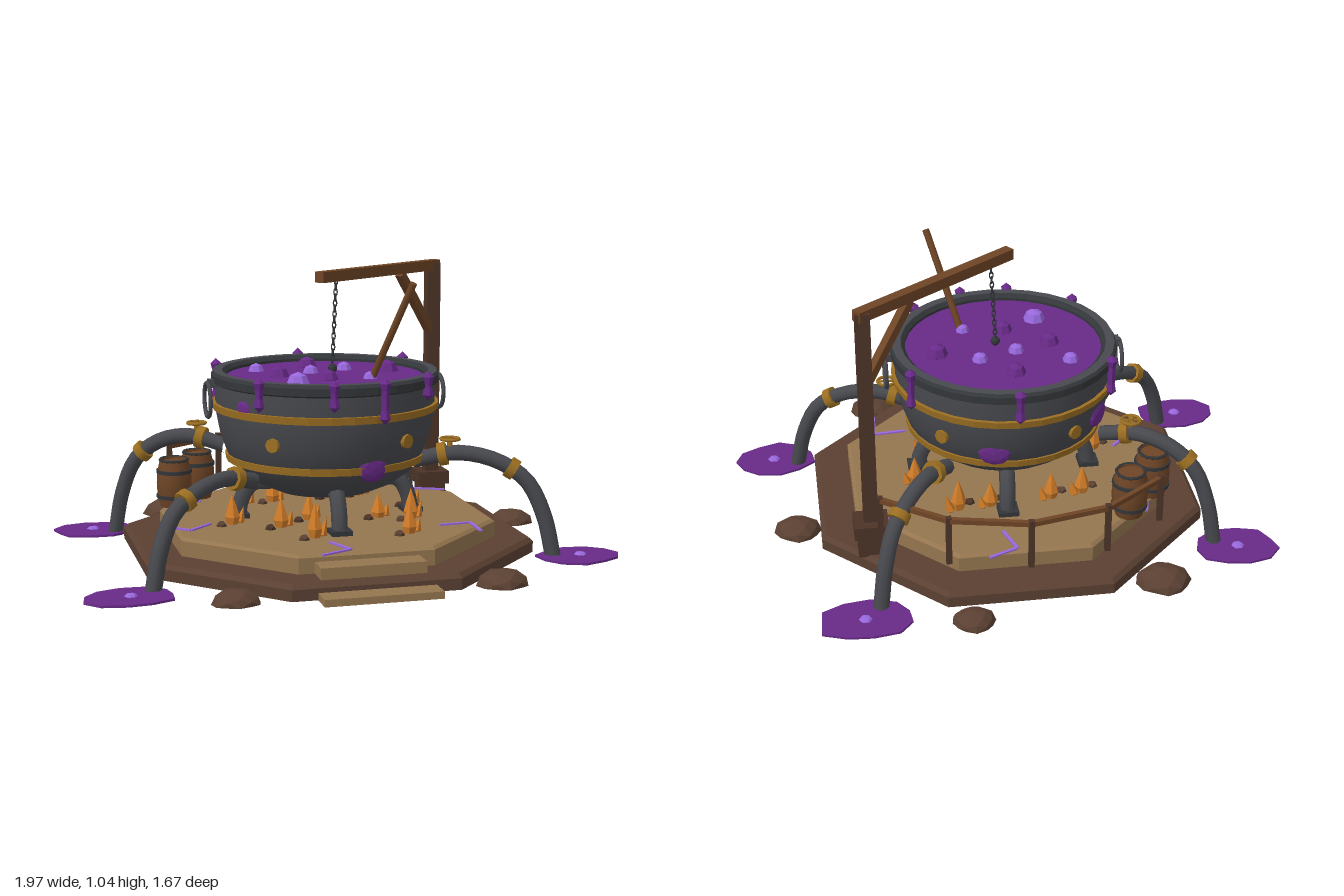
import * as THREE from 'three';
import { toCreasedNormals } from 'three/addons/utils/BufferGeometryUtils.js';

const CX = -0.035, CZ = 0.027; // axis shared by platform and cauldron
const V = (x, y, z) => new THREE.Vector3(x, y, z);

export function createModel() {
  const root = new THREE.Group();
  root.name = 'cauldronPlatform';
  const mat = (name, color) => Object.assign(new THREE.MeshStandardMaterial({ color }), { name });
  const earth = mat('earth brown', 0x5a4032), tan = mat('deck tan', 0x94754f), iron = mat('iron', 0x48494e);
  const rimGrey = mat('dark iron', 0x333639), gold = mat('brass', 0x9c6f22), purple = mat('purple', 0x682a88);
  const lilac = mat('lilac', 0x9868dc), orange = mat('flame orange', 0xd07c28);
  const wood = mat('wood', 0x6e4526), darkWood = mat('dark wood', 0x4c3326);

  let seed = 7;
  const rand = () => (seed = (seed * 16807) % 2147483647) / 2147483647;
  const flat = (g) => toCreasedNormals(g, 0.02);
  const add = (name, geo, material, x = 0, y = 0, z = 0, parent = root) => {
    const m = new THREE.Mesh(geo, material);
    m.name = name;
    m.position.set(x, y, z);
    parent.add(m);
    return m;
  };
  const group = (name) => {
    const g = new THREE.Group();
    g.name = name;
    root.add(g);
    return g;
  };
  const box = (name, w, h, d, material, x, y, z, parent) =>
    add(name, new THREE.BoxGeometry(w, h, d), material, x, y, z, parent);
  const lathe = (pts, n, start = 0) =>
    new THREE.LatheGeometry(pts.map((p) => new THREE.Vector2(p[0], p[1])), n, start);
  // Square beam or round rod between two points
  const beam = (name, a, b, w, material, parent, round = false) => {
    const L = a.distanceTo(b);
    const g = round ? new THREE.CylinderGeometry(w / 2, w / 2, L, 8).rotateX(Math.PI / 2) : new THREE.BoxGeometry(w, w, L);
    const m = add(name, g, material, 0, 0, 0, parent);
    m.position.copy(a).lerp(b, 0.5);
    m.lookAt(b);
    return m;
  };
  const polar = (deg, r, y) => V(CX + r * Math.cos(deg * Math.PI / 180), y, CZ + r * Math.sin(deg * Math.PI / 180));

  // Octagonal platform: hollow outer ring and raised deck shell
  const octagon = (pts) => flat(lathe(pts.map(([r, y]) => [r * 1.0824, y]), 8, Math.PI / 8));
  add('baseRing', octagon([[0.63, 0.02], [0.71, 0.02], [0.71, 0.06], [0.695, 0.075], [0.57, 0.075], [0.63, 0.02]]), earth, CX, 0, CZ);
  add('deck', octagon([[0.565, 0.07], [0.58, 0.07], [0.58, 0.13], [0.568, 0.14], [0, 0.14], [0, 0.132], [0.565, 0.13], [0.565, 0.07]]), tan, CX, 0, CZ);
  box('upperStep', 0.37, 0.04, 0.09, tan, -0.035, 0.095, 0.65);
  box('lowerStep', 0.41, 0.025, 0.085, tan, -0.035, 0.032, 0.78);

  // Cauldron body, rim, liquid and brass bands
  const body = [[0, 0.225], [0.1, 0.228], [0.18, 0.24], [0.26, 0.275], [0.32, 0.32], [0.36, 0.38], [0.385, 0.45], [0.402, 0.54], [0.402, 0.64]];
  add('cauldronBody', toCreasedNormals(lathe(body, 32), 0.6), iron, CX, 0, CZ);
  add('cauldronRim', flat(lathe([[0.395, 0.635], [0.417, 0.645], [0.417, 0.672], [0.405, 0.682], [0.375, 0.682], [0.362, 0.67], [0.362, 0.64]], 32)), rimGrey, CX, 0, CZ);
  add('rimTop', new THREE.RingGeometry(0.378, 0.41, 32).rotateX(-Math.PI / 2), iron, CX, 0.684, CZ);
  add('liquid', new THREE.CylinderGeometry(0.368, 0.368, 0.01, 32), purple, CX, 0.655, CZ);
  for (const [y, r] of [[0.557, 0.412], [0.368, 0.364]])
    add('brassBand', flat(lathe([[r - 0.02, y - 0.013], [r, y - 0.013], [r + 0.004, y + 0.013], [r - 0.02, y + 0.013]], 32)), gold, CX, 0, CZ);
  for (const s of [-1, 1]) {
    add('sideRing', new THREE.TorusGeometry(0.062, 0.008, 6, 24).rotateY(Math.PI / 2), iron, CX + s * 0.437, 0.585, CZ);
    box('ringBracket', 0.04, 0.03, 0.04, iron, CX + s * 0.415, 0.645, CZ);
  }
  for (const a of [57, 132, 237, 312]) {
    const p = polar(a, 0.388, 0.463);
    const m = add('rivet', new THREE.CylinderGeometry(0.026, 0.026, 0.025, 8).rotateX(Math.PI / 2), gold, p.x, p.y, p.z);
    m.lookAt(CX, p.y, CZ);
  }

  // Overflow drips and stains
  for (const [a, L] of [[-90, 0.13], [100, 0.11], [75, 0.16], [45, 0.1], [137, 0.12], [-31, 0.16], [211, 0.16]]) {
    const p = polar(a, 0.424, 0.7 - L);
    add('drip', flat(lathe([[0, 0], [0.02, 0.02], [0.014, 0.05], [0.015, L - 0.04], [0.022, L - 0.015], [0, L + 0.005]], 6)), purple, p.x, p.y, p.z);
  }
  for (const [a, y, r, s] of [[76, 0.375, 0.352, 0.06], [215, 0.47, 0.385, 0.06], [283, 0.42, 0.368, 0.06], [150, 0.58, 0.398, 0.035]]) {
    const p = polar(a, r, y);
    const m = add('stain', flat(new THREE.IcosahedronGeometry(s, 1).scale(1, 0.85, 0.3)), purple, p.x, p.y, p.z);
    m.lookAt(CX, y, CZ);
  }

  // Bubbles
  const bubbles = [[-0.05, -0.19, 0.038, 0], [-0.205, 0.02, 0.038, 0], [-0.05, 0.14, 0.036, 0], [0.215, -0.015, 0.042, 0],
    [-0.26, -0.125, 0.03, 1], [-0.075, -0.03, 0.03, 1], [0.065, -0.08, 0.03, 1], [-0.18, 0.21, 0.042, 1], [0.1, 0.155, 0.026, 1]];
  for (const [x, z, r, light] of bubbles)
    add('bubble', flat(new THREE.SphereGeometry(r, 7, 4)), light ? lilac : purple, x, 0.661, z);
  beam('stirringStick', V(0.1, 0.64, 0.15), V(0.215, 1.015, 0.305), 0.026, wood, root, true);

  // Cauldron feet
  for (const a of [5, 95, 185, 275]) {
    const c = new THREE.CatmullRomCurve3([polar(a, 0.2, 0.27), polar(a, 0.27, 0.265), polar(a, 0.31, 0.21), polar(a, 0.325, 0.135)]);
    add('cauldronFoot', new THREE.TubeGeometry(c, 8, 0.03, 7), iron);
    const p = polar(a, 0.325, 0.142);
    box('footPlate', 0.075, 0.03, 0.075, rimGrey, p.x, p.y, p.z);
  }

  // Drain pipes: start, end, shoulder height, valve, puddle centre and radii
  const pipes = [
    [[0.21, -0.27], [0.49, -0.635], 0.37, 0, [0.55, -0.705, 0.18, 0.115]],
    [[-0.37, -0.18], [-0.76, -0.405], 0.405, 1, [-0.84, -0.455, 0.16, 0.12]],
    [[-0.34, 0.2], [-0.745, 0.46], 0.345, 0, [-0.83, 0.52, 0.165, 0.115]],
    [[0.27, 0.165], [0.74, 0.355], 0.385, 1, [0.835, 0.385, 0.165, 0.125]],
  ];
  for (const [s, e, h, valve, pud] of pipes) {
    const g = group('drainPipe');
    const at = (t, y) => V(s[0] + (e[0] - s[0]) * t, y, s[1] + (e[1] - s[1]) * t);
    const curve = new THREE.CatmullRomCurve3([at(0, h - 0.03), at(0.3, h), at(0.58, h - 0.025), at(0.8, h * 0.75), at(0.93, h * 0.42), at(1, 0.012)]);
    add('pipe', new THREE.TubeGeometry(curve, 18, 0.029, 8), iron, 0, 0, 0, g);
    add('pipeEnd', new THREE.CylinderGeometry(0.03, 0.03, 0.016, 8), iron, e[0], 0.01, e[1], g);
    for (const [u, r] of [[0.14, 0.043], [0.5, 0.04]]) {
      const p = curve.getPointAt(u), d = curve.getTangentAt(u).multiplyScalar(0.016);
      beam('collar', p.clone().sub(d), p.clone().add(d), r * 2, gold, g, true);
    }
    if (valve) {
      const p = at(0.25, h + 0.05);
      add('valveStem', new THREE.CylinderGeometry(0.01, 0.01, 0.06, 6), gold, p.x, h + 0.03, p.z, g);
      add('valveWheel', new THREE.TorusGeometry(0.034, 0.006, 6, 14).rotateX(Math.PI / 2), gold, p.x, p.y, p.z, g);
      for (const a of [0, Math.PI / 2])
        box('valveSpoke', 0.066, 0.006, 0.008, gold, p.x, p.y, p.z, g).rotation.y = a;
    }
    const shape = new THREE.Shape();
    for (let i = 0; i < 11; i++) {
      const a = i / 11 * Math.PI * 2, k = 0.84 + 0.19 * rand();
      shape[i ? 'lineTo' : 'moveTo'](Math.cos(a) * pud[2] * k, Math.sin(a) * pud[3] * k);
    }
    add('puddle', new THREE.ExtrudeGeometry(shape, { depth: 0.008, bevelEnabled: false }).rotateX(-Math.PI / 2), purple, pud[0], 0.008, pud[1], g);
    add('puddleBubble', flat(new THREE.SphereGeometry(0.024, 6, 4).scale(1, 0.4, 1)), lilac, pud[0], 0.017, pud[1], g);
  }

  // Crane with hanging chain
  const crane = group('crane');
  box('craneBase', 0.125, 0.05, 0.115, darkWood, 0.5, 0.175, -0.365, crane);
  box('craneBaseFooting', 0.1, 0.085, 0.09, darkWood, 0.5, 0.11, -0.365, crane);
  box('cranePost', 0.052, 0.84, 0.05, darkWood, 0.5, 0.61, -0.36, crane);
  beam('craneArm', V(0.52, 1.02, -0.375), V(-0.062, 1.02, 0.052), 0.04, wood, crane);
  beam('craneBrace', V(0.49, 0.76, -0.353), V(0.33, 1.0, -0.236), 0.03, wood, crane);
  const top = V(0.015, 1.0, -0.004), hook = V(-0.005, 0.7, 0.02);
  for (let i = 0; i < 16; i++) {
    const p = top.clone().lerp(hook, i / 15);
    add('chainLink', new THREE.TorusGeometry(0.009, 0.003, 4, 8).scale(0.75, 1.4, 1), rimGrey, p.x, p.y, p.z, crane).rotation.y = (i % 2) * Math.PI / 2;
  }
  add('chainWeight', flat(new THREE.SphereGeometry(0.018, 8, 5)), rimGrey, hook.x, 0.682, hook.z, crane);

  // Back railing
  const railing = group('railing');
  const posts = [-137, -114, -90, -66, -43].map((a) => polar(a, 0.69, 0.33));
  posts.forEach((p, i) => {
    if (i < 4) beam('rail', p, posts[i + 1], 0.018, wood, railing);
    box('railPost', 0.02, 0.19, 0.02, darkWood, p.x, 0.248, p.z, railing);
  });

  // Barrels
  for (const [x, z] of [[-0.445, -0.365], [-0.555, -0.24]]) {
    const g = group('barrel');
    g.position.set(x, 0.14, z);
    add('staves', toCreasedNormals(lathe([[0, 0], [0.052, 0], [0.064, 0.05], [0.066, 0.09], [0.064, 0.13], [0.053, 0.18], [0.046, 0.18], [0.046, 0.172], [0, 0.172]], 14), 0.5), wood, 0, 0, 0, g);
    for (const y of [0.04, 0.135])
      add('hoop', new THREE.CylinderGeometry(0.067, 0.067, 0.014, 14), rimGrey, 0, y, 0, g);
    add('barrelLip', new THREE.TorusGeometry(0.052, 0.006, 5, 14).rotateX(Math.PI / 2), rimGrey, 0, 0.178, 0, g);
  }

  // Fire under the cauldron: flames and embers
  const flames = [[-0.4, 0.1], [-0.24, 0.19], [-0.18, -0.22], [-0.115, 0.1], [-0.16, 0.37], [0.14, 0.13], [0.18, 0.39], [0.31, -0.04],
    [0.25, 0.18], [0.17, -0.25], [-0.3, -0.2], [0.05, -0.24]];
  flames.forEach(([x, z], i) => {
    const h = 0.09 + 0.035 * rand();
    add('flame', flat(lathe([[0, 0], [0.02, 0.01], [0.029, h * 0.38], [0.016, h * 0.75], [0, h + 0.015]], 6)), orange, x, 0.125, z).rotation.y = i;
    const lean = add('sideFlame', flat(lathe([[0, 0], [0.018, 0.02], [0, h * 0.7]], 5)), orange, x + 0.026, 0.125, z - 0.015);
    lean.rotation.z = -0.25;
    add('ember', flat(new THREE.DodecahedronGeometry(0.02)), i % 2 ? darkWood : earth, x - 0.045, 0.14, z + 0.03);
  });

  // Glowing cracks in the deck
  const cracks = [[0.1, -0.58, -0.005, -0.535, 0.03, -0.425], [-0.655, 0.09, -0.565, 0.175, -0.48, 0.095],
    [-0.13, 0.465, -0.085, 0.575, -0.2, 0.63], [0.315, 0.32, 0.435, 0.31, 0.43, 0.44], [0.35, -0.19, 0.41, -0.29, 0.52, -0.24],
    [-0.51, -0.37, -0.525, -0.31, -0.45, -0.27]];
  for (const c of cracks)
    for (const i of [0, 2]) {
      const m = beam('crack', V(c[i], 0.143, c[i + 1]), V(c[i + 2], 0.143, c[i + 3]), 0.012, lilac);
      m.scale.y = 0.5;
    }

  // Boulders around the edge
  for (const [x, z, r] of [[-0.515, -0.64, 0.098], [0.18, -0.775, 0.075], [0.76, -0.14, 0.085], [0.415, 0.705, 0.09], [-0.51, 0.7, 0.08]]) {
    const g = new THREE.IcosahedronGeometry(r, 1), p = g.attributes.position, k = rand() * 6;
    for (let i = 0; i < p.count; i++) {
      const n = 1 + 0.09 * Math.sin(p.getX(i) * 40 + k) * Math.cos(p.getZ(i) * 35 + k);
      p.setXYZ(i, p.getX(i) * n, Math.max(0, p.getY(i) * 0.62), p.getZ(i) * n * 0.88);
    }
    add('boulder', flat(g), earth, x, 0.02, z);
  }
  return root;
}
